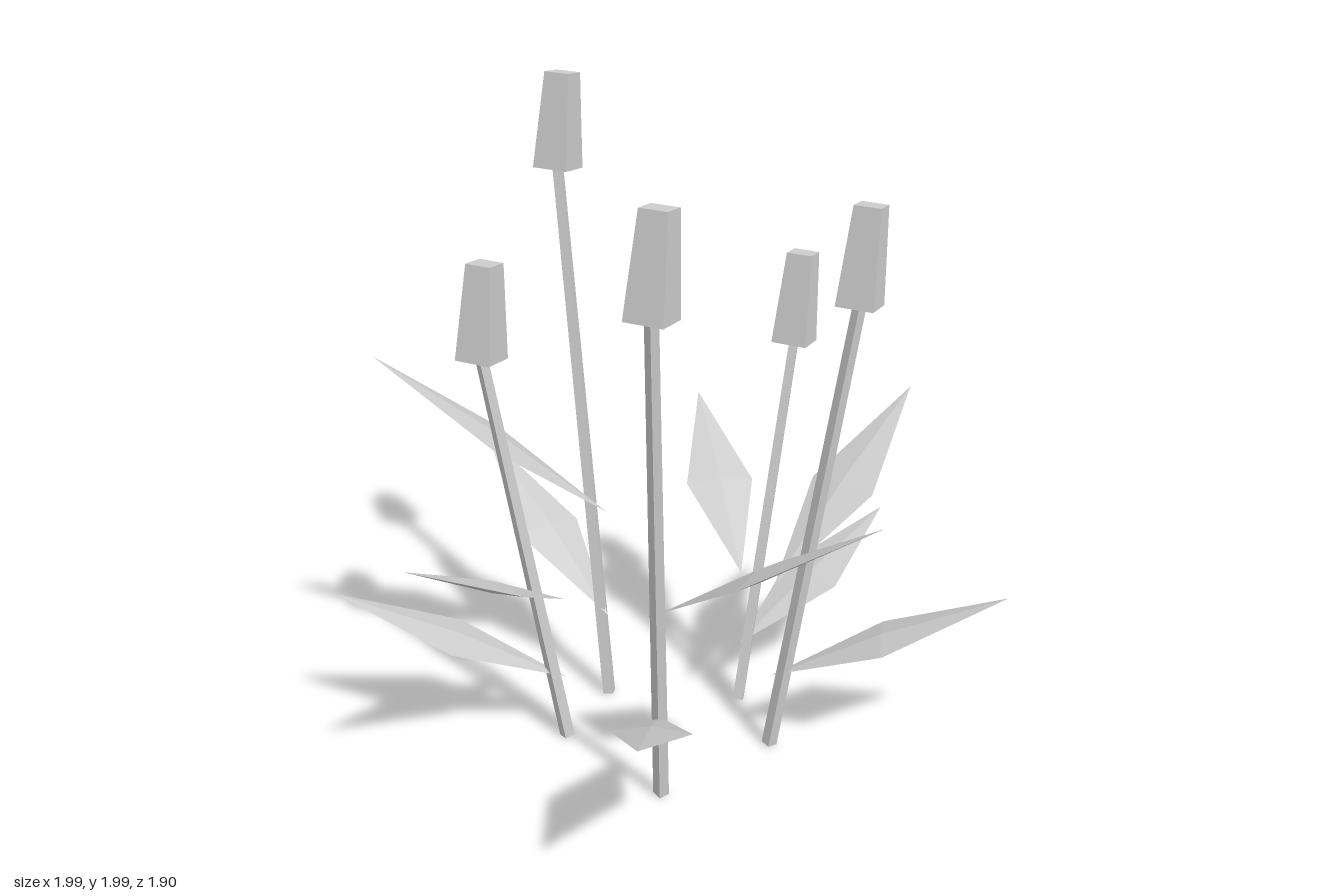
import * as THREE from 'three';

const material = new THREE.MeshStandardMaterial({ color: 0xcccccc, flatShading: true });
const UP = new THREE.Vector3(0, 1, 0);
const BUD_HEIGHT = 0.277;
const BUD_LEAN = new THREE.Vector3(0.064, 1, -0.052).normalize();

// Each plant: stem foot, bud foot, stem yaw, and leaves as [root, tip]
const plants = [
  { foot: [0.02, 0.003, 0.262], bud: [0.035, 1.523, 0.477], yaw: 0, leaves: [
    [[0.015, 0.6, 0.26], [0.625, 1.06, 0.58]],
    [[0.02, 0.26, 0.26], [0.08, 0.61, 0.95]]] },
  { foot: [0.308, 0.003, -0.052], bud: [0.518, 1.427, -0.053], yaw: 0, leaves: [
    [[0.31, 0.555, -0.06], [0.675, 0.995, -0.635]],
    [[0.31, 0.245, -0.055], [0.99, 0.567, -0.055]]] },
  { foot: [0.182, 0.003, -0.3], bud: [0.312, 1.181, -0.468], yaw: Math.PI / 4, leaves: [
    [[0.182, 0.455, -0.31], [-0.05, 0.82, -0.95]],
    [[0.182, 0.2, -0.31], [0.603, 0.473, -0.847]]] },
  { foot: [-0.243, 0.003, -0.267], bud: [-0.4, 1.704, -0.405], yaw: Math.PI / 4, leaves: [
    [[-0.24, 0.29, -0.262], [-0.75, 0.685, -0.735]],
    [[-0.24, 0.657, -0.262], [-0.905, 1.19, -0.095]]] },
  { foot: [-0.322, 0.003, 0.003], bud: [-0.53, 1.245, 0.037], yaw: 0, leaves: [
    [[-0.32, 0.483, 0.005], [-0.585, 0.87, 0.635]],
    [[-0.32, 0.212, 0.003], [-1.0, 0.5, 0.115]]] },
];

function makeMesh(name, geometry) {
  const mesh = new THREE.Mesh(geometry, material);
  mesh.name = name;
  return mesh;
}

// Square tapering stem between two points
function makeStem(foot, top, yaw) {
  const dir = top.clone().sub(foot);
  const geometry = new THREE.CylinderGeometry(0.019, 0.0235, dir.length(), 4).rotateY(yaw);
  const stem = makeMesh('stem', geometry);
  stem.position.copy(foot).lerp(top, 0.5);
  stem.quaternion.setFromUnitVectors(UP, dir.normalize());
  return stem;
}

// Four-sided tapering bud standing on the stem's end
function makeBud(foot) {
  const geometry = new THREE.CylinderGeometry(0.077 / Math.SQRT2, 0.109 / Math.SQRT2, BUD_HEIGHT, 4);
  geometry.rotateY(Math.PI / 4 - 0.245);
  const bud = makeMesh('flowerBud', geometry);
  bud.position.copy(foot).addScaledVector(BUD_LEAN, BUD_HEIGHT / 2);
  bud.quaternion.setFromUnitVectors(UP, BUD_LEAN);
  return bud;
}

// Thin diamond leaf with a centre ridge, widest just before the middle
function makeLeaf(root, tip) {
  const length = root.distanceTo(tip);
  const geometry = new THREE.OctahedronGeometry(1, 0);
  const p = geometry.attributes.position;
  for (let i = 0; i < p.count; i++) {
    const z = p.getZ(i);
    p.setXYZ(i, p.getX(i) * 0.111, p.getY(i) * 0.017, z * length * (z > 0 ? 0.52 : 0.48));
  }
  geometry.computeVertexNormals();
  const leaf = makeMesh('leaf', geometry);
  leaf.position.copy(root).lerp(tip, 0.48);
  leaf.lookAt(tip);
  return leaf;
}

export function createModel() {
  const model = new THREE.Group();
  model.name = 'flowers';
  for (const { foot, bud, yaw, leaves } of plants) {
    const plant = new THREE.Group();
    plant.name = 'flower';
    const top = new THREE.Vector3(...bud);
    plant.add(makeStem(new THREE.Vector3(...foot), top, yaw), makeBud(top));
    for (const [root, tip] of leaves) {
      plant.add(makeLeaf(new THREE.Vector3(...root), new THREE.Vector3(...tip)));
    }
    model.add(plant);
  }
  return model;
}
